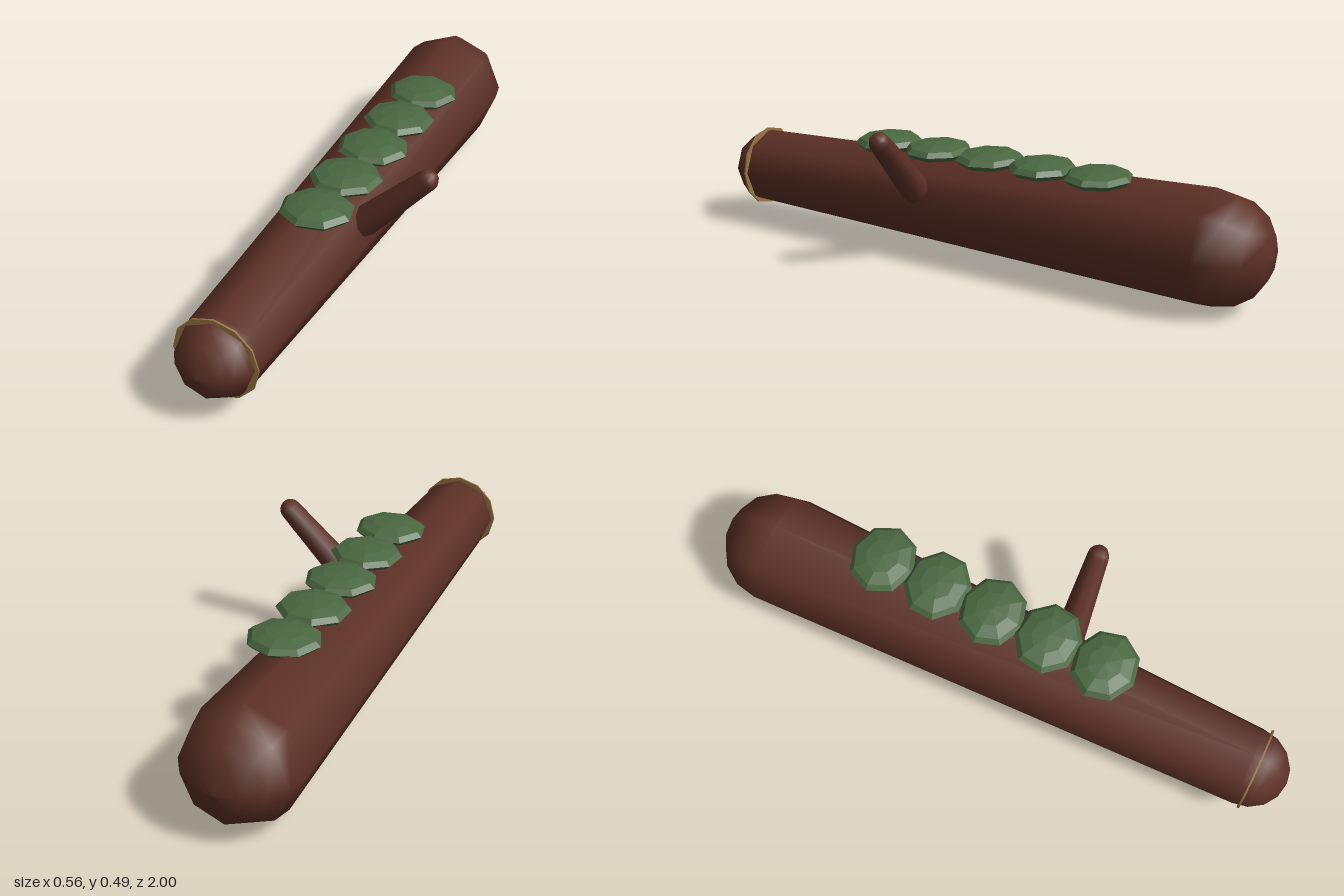
import * as THREE from 'three';

const bark = new THREE.MeshStandardMaterial({ color: 0x5c3026 });
bark.name = 'bark';
const cutWood = new THREE.MeshStandardMaterial({ color: 0x9b7645 });
cutWood.name = 'cutWood';
const moss = new THREE.MeshStandardMaterial({ color: 0x4a6741, flatShading: true });
moss.name = 'moss';

// Tapered eight-sided rod along y with rounded ends
function roundedRod(y0, r0, y1, r1, steps = 4) {
  const pts = [];
  for (let i = 0; i <= steps; i++) {
    const a = (i / steps) * Math.PI / 2;
    pts.push(new THREE.Vector2(r0 * Math.sin(a), y0 - r0 * Math.cos(a)));
  }
  for (let i = steps; i >= 0; i--) {
    const a = (i / steps) * Math.PI / 2;
    pts.push(new THREE.Vector2(r1 * Math.sin(a), y1 + r1 * Math.cos(a)));
  }
  pts[0].x = pts[pts.length - 1].x = 0;
  return new THREE.LatheGeometry(pts, 8);
}

export function createModel() {
  const model = new THREE.Group();
  model.name = 'mossyLog';
  const add = (name, geometry, material, x, y, z) => {
    const mesh = new THREE.Mesh(geometry, material);
    mesh.name = name;
    mesh.position.set(x, y, z);
    model.add(mesh);
    return mesh;
  };

  // Trunk, thick at the back and thinner at the front
  const trunk = add('trunk', roundedRod(-0.81, 0.19, 0.868, 0.132), bark, -0.09, 0.191, 0);
  trunk.rotation.x = Math.PI / 2;

  // Thin ring of pale wood around the front end
  const ring = add('cutRing', new THREE.CylinderGeometry(0.138, 0.138, 0.006, 12), cutWood, -0.09, 0.191, 0.893);
  ring.rotation.x = Math.PI / 2;

  // Branch stub leaning up and out to the left
  const base = new THREE.Vector3(0.035, 0.247, 0.183);
  const tip = new THREE.Vector3(0.245, 0.455, 0.175);
  const dir = tip.clone().sub(base);
  const branch = add('branch', roundedRod(0, 0.05, dir.length(), 0.035), bark, base.x, base.y, base.z);
  branch.quaternion.setFromUnitVectors(new THREE.Vector3(0, 1, 0), dir.normalize());

  // Row of flattened moss clumps along the top
  for (let i = 0; i < 5; i++) {
    const clump = add('mossClump' + (i + 1), new THREE.SphereGeometry(1, 8, 6), moss,
      -0.034 - i * 0.003, 0.369, -0.445 + i * 0.196);
    clump.scale.set(0.119, 0.031, 0.108);
    clump.geometry.rotateY(i * 0.35);
  }
  return model;
}
